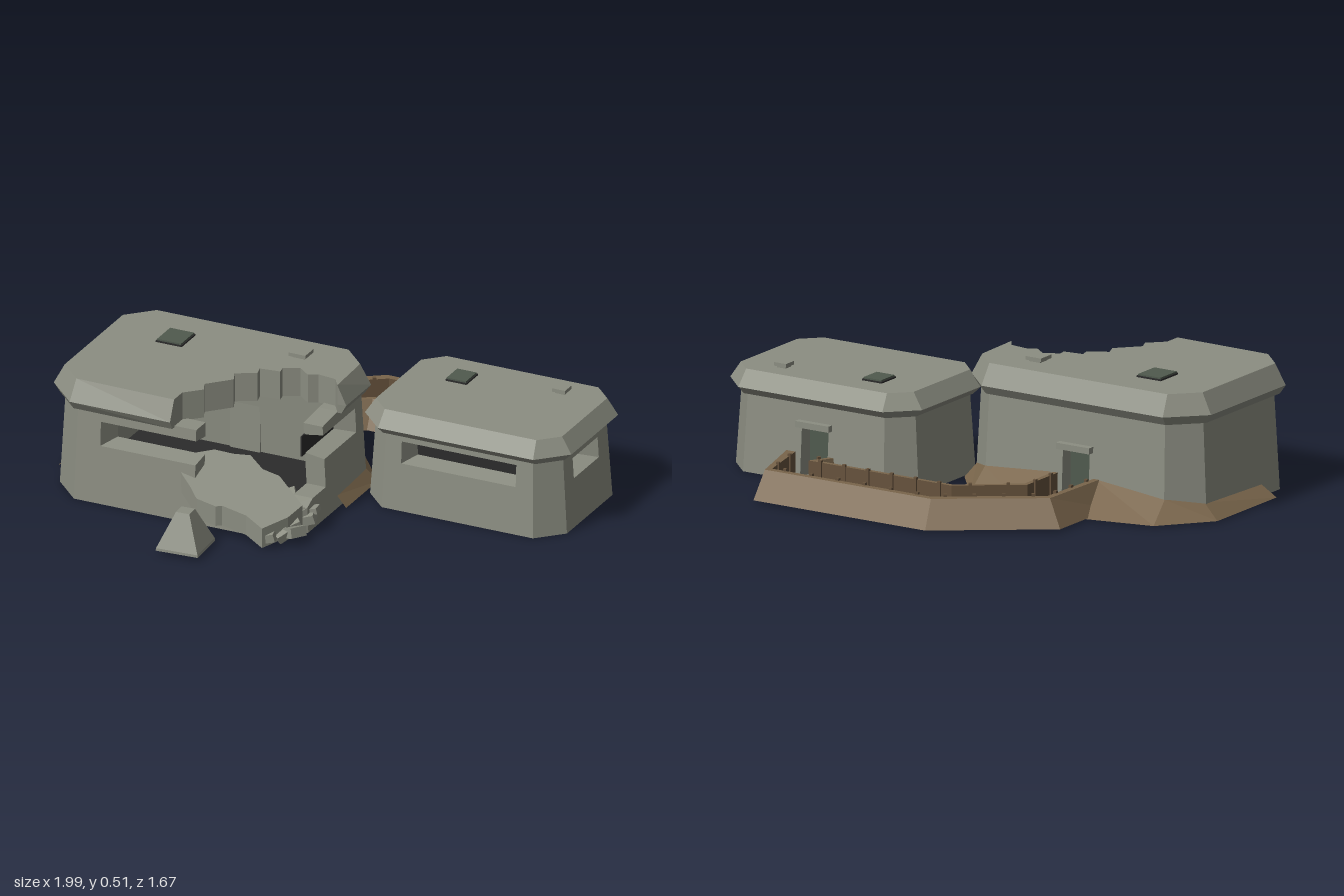
import * as THREE from 'three';

const mat = (name, color, side = THREE.FrontSide) => {
  const m = new THREE.MeshStandardMaterial({ color, side });
  m.name = name;
  return m;
};

export function createModel() {
  const concrete = mat('concrete', 0x8c8e82);
  const earth = mat('earth', 0x79654b, THREE.DoubleSide);
  const wood = mat('wood', 0x66523c, THREE.DoubleSide);
  const dark = mat('dark interior', 0x2b2b2b);
  const green = mat('green steel', 0x505a4e);
  const model = new THREE.Group();
  model.name = 'bunkers';

  const add = (parent, name, geo, material) => {
    const m = new THREE.Mesh(geo, material);
    m.name = name;
    parent.add(m);
    return m;
  };
  const box = (parent, name, size, pos, material, rot = [0, 0, 0]) => {
    const m = add(parent, name, new THREE.BoxGeometry(...size), material);
    m.position.set(...pos);
    m.rotation.set(...rot);
    return m;
  };
  const shapeOf = (pts) => new THREE.Shape(pts.map(([x, y]) => new THREE.Vector2(x, y)));

  // Rectangle with cut corners, inset by d; sides run front, left, back, right with corners between
  const octagon = ({ x0, x1, z0, z1, c }, d = 0, k = c - 0.586 * d) => {
    const a = x0 + d, b = x1 - d, e = z0 + d, f = z1 - d;
    return [[b - k, f], [a + k, f], [a, f - k], [a, e + k], [a + k, e], [b - k, e], [b, e + k], [b, f - k]];
  };

  // Extrude a shape and move each vertex by a rule
  const mapped = (shape, steps, rule) => {
    const geo = new THREE.ExtrudeGeometry(shape, { depth: 1, steps, bevelEnabled: false });
    const p = geo.attributes.position;
    for (let i = 0; i < p.count; i++) p.setXYZ(i, ...rule(p.getX(i), p.getY(i), p.getZ(i)));
    geo.computeVertexNormals();
    return geo;
  };

  // Flat slab from an (x, z) outline; rule gives the final point for each level w
  const slab = (outline, steps, rule) =>
    mapped(shapeOf(outline.map(([x, z]) => [x, -z])), steps, (x, s, w) => rule(x, -s, w));

  // Wall ring: one panel per side, square inside, with inward lean and splayed windows
  const THICK = 0.08, LEAN = 0.02;
  function walls(parent, b, H, panels) {
    const base = octagon(b);
    for (let i = 0; i < 8; i++) {
      const j = (i + 1) % 8;
      const axis = i % 4 === 0 ? 0 : 1;
      const start = base[i][axis], len = base[j][axis] - start;
      const toU = (q) => (i % 2 ? q : (q - start) / len);
      const spec = panels[i] || {};
      const outline = spec.outline || (i % 2 ? [[0, 0], [1, 0], [1, H], [0, H]]
        : [[start, 0], [start + len, 0], [start + len, H], [start, H]]);
      const shape = shapeOf(outline.map(([q, y]) => [toU(q), y]));
      const win = spec.window && spec.window.map((v, k) => (k < 2 ? toU(v) : v));
      if (win && !spec.open) {
        const [l, r, lo, hi] = win;
        shape.holes.push(new THREE.Path([[l, lo], [r, lo], [r, hi], [l, hi]].map((q) => new THREE.Vector2(...q))));
      }
      const near = (p, q) => Math.abs(p - q) < 1e-5;
      add(parent, 'wall', mapped(shape, 1, (u, v, w) => {
        if (win && w > 0.5 && (near(u, win[0]) || near(u, win[1])) && (near(v, win[2]) || near(v, win[3]))) {
          if (!(spec.open && near(u, win[1]))) u += (near(u, win[0]) ? 1 : -1) * Math.sign(win[1] - win[0]) * 0.033 / Math.abs(len);
          v += near(v, win[2]) ? 0.012 : -0.012;
        }
        const ring = w > 0.5 ? octagon(b, LEAN * v / H + THICK, 0.004) : octagon(b, LEAN * v / H);
        const p = [0, 1].map((k) => ring[i][k] + (ring[j][k] - ring[i][k]) * u);
        if (i % 2 === 0 && u > 0.001 && u < 0.999) p[axis] = start + len * u;
        return [p[0], v, p[1]];
      }), concrete);
    }
    // Floor with a dark surface
    add(parent, 'base', slab(octagon(b, 0.004), 1, (x, z, w) => [x, 0.001 + w * 0.014, z]), concrete);
    add(parent, 'floor', slab(octagon(b, 0.06, 0.03), 1, (x, z, w) => [x, 0.015 + w * 0.005, z]), dark);
  }

  // Roof with sloping eaves, widest at the middle level
  function roof(parent, b, outline, heights, insets) {
    const h = Math.SQRT1_2;
    const planes = [[1, 0, b.x1], [-1, 0, -b.x0], [0, 1, b.z1], [0, -1, -b.z0],
      [h, h, (b.x1 + b.z1 - b.c) * h], [-h, h, (b.z1 - b.x0 - b.c) * h],
      [h, -h, (b.x1 - b.z0 - b.c) * h], [-h, -h, (-b.x0 - b.z0 - b.c) * h]];
    add(parent, 'roof', slab(outline, 2, (x, z, w) => {
      const k = Math.round(w * 2);
      for (const [nx, nz, o] of planes) {
        const over = nx * x + nz * z - (o - insets[k]);
        if (over > 0) { x -= nx * over; z -= nz * over; }
      }
      return [x, heights[k], z];
    }), concrete);
  }

  // Roof hatch and capped vent
  function roofFittings(parent, y, hatch, vent) {
    box(parent, 'hatchFrame', [hatch[2] + 0.008, 0.006, hatch[3] + 0.008], [hatch[0], y + 0.003, hatch[1]], dark);
    box(parent, 'hatch', [hatch[2], 0.012, hatch[3]], [hatch[0], y + 0.006, hatch[1]], green);
    box(parent, 'ventStem', [vent[2] * 0.7, 0.012, vent[2] * 0.7], [vent[0], y + 0.006, vent[1]], concrete);
    box(parent, 'ventCap', [vent[2], 0.014, vent[2]], [vent[0], y + 0.014, vent[1]], concrete);
  }

  // Lintel and closed door set back in the wall
  function door(parent, x, z, h) {
    box(parent, 'lintel', [0.15, 0.024, 0.03], [x, h + 0.012, z], concrete);
    box(parent, 'door', [0.124, h, 0.008], [x, h / 2 + 0.005, z + 0.066], green);
    box(parent, 'doorBacking', [0.124, h, 0.02], [x, h / 2 + 0.005, z + 0.08], concrete);
  }

  // Large ruined bunker
  const ruin = new THREE.Group();
  ruin.name = 'ruinedBunker';
  model.add(ruin);
  walls(ruin, { x0: -0.925, x1: 0.11, z0: -0.2, z1: 0.525, c: 0.115 }, 0.375, {
    0: { open: true, window: [-0.706, -0.31, 0.233, 0.33],
      outline: [[-0.81, 0], [-0.005, 0], [-0.005, 0.045], [-0.25, 0.06], [-0.31, 0.1], [-0.31, 0.233],
        [-0.706, 0.233], [-0.706, 0.33], [-0.31, 0.33], [-0.31, 0.375], [-0.81, 0.375]] },
    4: { outline: [[-0.81, 0], [-0.47, 0], [-0.47, 0.21], [-0.35, 0.21], [-0.35, 0], [-0.005, 0], [-0.005, 0.375], [-0.81, 0.375]] },
    6: { open: true, window: [-0.02, 0.25, 0.233, 0.33],
      outline: [[-0.085, 0], [0.41, 0], [0.41, 0.1], [0.36, 0.12], [0.25, 0.12], [0.25, 0.233],
        [-0.02, 0.233], [-0.02, 0.33], [0.25, 0.33], [0.25, 0.365], [0.12, 0.375], [-0.085, 0.375]] },
    7: { outline: [[0, 0], [1, 0], [1, 0.045], [0.5, 0.06], [0, 0.1]] },
  });
  box(ruin, 'windowPanel', [0.006, 0.082, 0.31], [0.016, 0.281, 0.125], dark);
  roof(ruin, { x0: -0.948, x1: 0.125, z0: -0.22, z1: 0.545, c: 0.13 }, [
    [-0.40, 0.545], [-0.818, 0.545], [-0.948, 0.415], [-0.948, -0.09], [-0.818, -0.22], [-0.005, -0.22], [0.125, -0.09],
    [0.125, 0.12], [0.09, 0.125], [0.06, 0.08], [-0.015, 0.07], [-0.05, 0.09], [-0.1, 0.05], [-0.16, 0.08], [-0.155, 0.11],
    [-0.235, 0.12], [-0.225, 0.16], [-0.3, 0.2], [-0.28, 0.25], [-0.36, 0.335], [-0.34, 0.38], [-0.4, 0.44],
  ], [0.37, 0.405, 0.485], [0.02, 0, 0.035]);
  roofFittings(ruin, 0.485, [-0.635, 0.02, 0.1, 0.11], [-0.147, -0.05, 0.07]);
  door(ruin, -0.41, -0.2, 0.21);

  // Small intact bunker
  const small = new THREE.Group();
  small.name = 'smallBunker';
  model.add(small);
  walls(small, { x0: 0.16, x1: 0.98, z0: -0.49, z1: 0.085, c: 0.095 }, 0.305, {
    0: { window: [0.33, 0.807, 0.19, 0.278] },
    4: { outline: [[0.255, 0], [0.51, 0], [0.51, 0.21], [0.63, 0.21], [0.63, 0], [0.885, 0], [0.885, 0.305], [0.255, 0.305]] },
    6: { window: [-0.305, -0.094, 0.19, 0.272] },
  });
  box(small, 'frontWindowPanel', [0.45, 0.085, 0.006], [0.568, 0.234, -0.008], dark);
  box(small, 'sideWindowPanel', [0.006, 0.08, 0.185], [0.887, 0.231, -0.2], dark);
  const rb = { x0: 0.14, x1: 1, z0: -0.51, z1: 0.1, c: 0.107 };
  roof(small, rb, octagon(rb), [0.3, 0.33, 0.393], [0.025, 0, 0.035]);
  roofFittings(small, 0.393, [0.39, -0.317, 0.08, 0.09], [0.781, -0.37, 0.055]);
  door(small, 0.57, -0.485, 0.21);

  // Fallen roof slab leaning on the breach
  add(model, 'fallenSlab', slab([
    [-0.41, 0.44], [-0.31, 0.35], [-0.24, 0.335], [-0.18, 0.31], [-0.11, 0.35], [-0.04, 0.35], [0.1, 0.44], [0.08, 0.52],
    [0.02, 0.62], [-0.06, 0.59], [-0.16, 0.59], [-0.18, 0.605], [-0.26, 0.605], [-0.31, 0.56], [-0.39, 0.5],
  ], 1, (x, z, w) => [x, 0.195 - 0.2 * x - 0.3 * z + 0.08 * w, z]), concrete);

  // Rubble: x, y, z, size, turn
  [[-0.05, 0.045, 0.25, 0.06, 0.5], [0.1, 0.055, 0.39, 0.055, 0.3], [0.1, 0.045, 0.515, 0.06, -0.4], [0.06, 0.04, 0.54, 0.05, 0.9],
    [0.115, 0.08, 0.37, 0.035, 0.1], [0.07, 0.055, 0.47, 0.06, 0.7], [0.03, 0.04, 0.575, 0.05, 0.2],
  ].forEach(([x, y, z, s, r]) => box(model, 'rubble', [s, s * 0.65, s * 1.25], [x, y, z], concrete, [r * 0.3, r, 0.25]));

  // Anti-vehicle pyramid
  const pyramid = add(model, 'obstacle', slab([[-1, -1], [1, -1], [1, 1], [-1, 1]], 2, (x, z, w) => {
    const r = [0.085, 0.084, 0.027][Math.round(w * 2)];
    return [x * r, [0.015, 0.025, 0.16][Math.round(w * 2)], z * r];
  }), concrete);
  pyramid.position.set(-0.237, 0, 0.745);
  pyramid.rotation.y = 0.06;

  // Strip between two polylines of [x, z] or [x, z, y]
  function strip(name, a, ya, b, yb, material) {
    const pos = [];
    const at = (p, y) => [p[0], p[2] ?? y, p[1]];
    for (let i = 0; i + 1 < a.length; i++) {
      const p = at(a[i], ya), q = at(a[i + 1], ya), r = at(b[i + 1], yb), s = at(b[i], yb);
      pos.push(...p, ...q, ...r, ...p, ...r, ...s);
    }
    const geo = new THREE.BufferGeometry();
    geo.setAttribute('position', new THREE.Float32BufferAttribute(pos, 3));
    geo.computeVertexNormals();
    add(model, name, geo, material);
  }

  // Trench linking the two doors
  const outerFoot = [[-0.57, -0.19], [-0.57, -0.54], [-0.16, -0.834], [0.61, -0.834], [0.74, -0.49]];
  const outerRim = [[-0.515, -0.19], [-0.505, -0.51], [-0.14, -0.765], [0.605, -0.765], [0.69, -0.49]];
  const outerWall = [[-0.49, -0.19], [-0.48, -0.487], [-0.12, -0.738], [0.59, -0.738], [0.65, -0.49]];
  const innerWall = [[-0.33, -0.19], [-0.33, -0.4], [-0.1, -0.567], [0.54, -0.567], [0.5, -0.49]];
  const innerRim = [[-0.31, -0.19], [-0.312, -0.39], [-0.095, -0.55], [0.515, -0.55], [0.48, -0.49]];
  const innerFoot = [[-0.25, -0.19], [-0.255, -0.33], [-0.09, -0.49], [0.49, -0.49], [0.47, -0.485]];
  const RIM = 0.112, FOOT = 0.008;
  strip('trenchOuterBank', outerFoot, FOOT, outerRim, RIM, earth);
  strip('trenchOuterRim', outerRim, RIM, outerWall, RIM, earth);
  strip('trenchOuterLining', outerWall, RIM, outerWall, FOOT, wood);
  strip('trenchInnerLining', innerWall, RIM, innerWall, FOOT, wood);
  strip('trenchInnerRim', innerWall, RIM, innerRim, RIM, earth);
  strip('trenchInnerBank', innerRim, RIM, innerFoot, FOOT, earth);
  strip('trenchFloor', innerWall, 0.012, outerWall, 0.012, dark);
  strip('trenchUnderside', outerWall, 0.006, innerWall, 0.006, wood);

  // Posts along the trench lining
  for (const line of [outerWall, innerWall]) {
    for (let i = 0; i + 1 < line.length; i++) {
      const [ax, az] = line[i], [bx, bz] = line[i + 1];
      const n = Math.max(1, Math.round(Math.hypot(bx - ax, bz - az) / 0.115));
      for (let k = 0; k < n; k++) {
        const t = (k + 0.5) / n;
        box(model, 'trenchPost', [0.013, 0.113, 0.012], [ax + (bx - ax) * t, 0.0645, az + (bz - az) * t], wood,
          [0, -Math.atan2(bz - az, bx - ax), 0]);
      }
    }
  }

  // Earth banked against the large bunker
  strip('leftBank', [[-0.99, 0.29], [-0.99, -0.11], [-0.83, -0.3], [-0.56, -0.36]], 0.005,
    [[-0.915, 0.29, 0.05], [-0.915, -0.085, 0.06], [-0.81, -0.195, 0.08], [-0.5, -0.195, RIM]], 0, earth);
  strip('rightBank', [[-0.25, -0.33], [0, -0.29], [0.144, -0.11], [0.144, 0.16]], 0.005,
    [[-0.3, -0.195, RIM], [-0.005, -0.195, 0.09], [0.105, -0.085, 0.06], [0.105, 0.16, 0.05]], 0, earth);

  return model;
}
